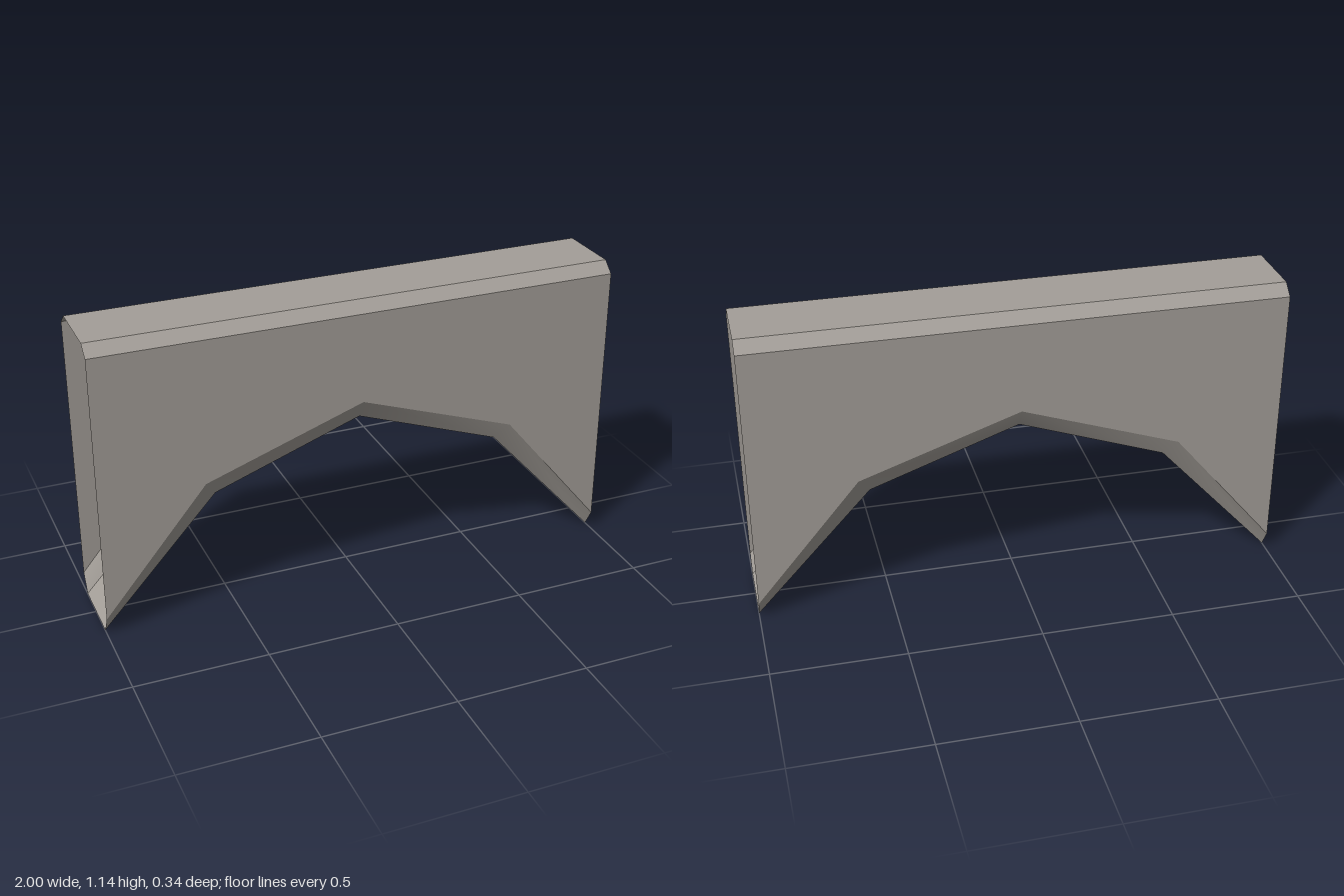
import * as THREE from 'three';

// Half arch profiles as [x, y], from the foot to the crown
const OUTER_ARCH = [[1, 0.07], [0.605, 0.545], [0, 0.755]];
const INNER_ARCH = [[1, 0], [0.56, 0.48], [0, 0.68]];
const WALL_Z = 0.17, SOFFIT_Z = 0.13, ROOF_Z = 0.125;
const ROOF_Y = 1.14, WALL_TOP_Y = 1.1;

// Mirrors a half profile to run from -x to +x at depth z
function archRail(half, z) {
  const left = half.map(([x, y]) => new THREE.Vector3(-x, y, z));
  const right = half.slice(0, -1).reverse().map(([x, y]) => new THREE.Vector3(x, y, z));
  return [...left, ...right];
}

// Straight rail with the same x stations as the outer arch
function straightRail(y, z) {
  return archRail(OUTER_ARCH.map(([x]) => [x, y]), z);
}

// Surface between two rails, smooth along its length
function strip(a, b) {
  const index = [];
  const n = a.length;
  for (let i = 0; i < n - 1; i++) {
    index.push(i, n + i, n + i + 1, i, n + i + 1, i + 1);
  }
  const geometry = new THREE.BufferGeometry().setFromPoints([...a, ...b]);
  geometry.setIndex(index);
  geometry.computeVertexNormals();
  return geometry;
}

export function createModel() {
  const group = new THREE.Group();
  group.name = 'archSegment';
  const stone = new THREE.MeshStandardMaterial({ color: 0xa39e98, side: THREE.DoubleSide });
  stone.name = 'warmGreyStone';

  // Rails around the hollow section, down the front and up the back
  const rails = [
    straightRail(ROOF_Y, ROOF_Z),
    straightRail(WALL_TOP_Y, WALL_Z),
    archRail(OUTER_ARCH, WALL_Z),
    archRail(INNER_ARCH, SOFFIT_Z),
    archRail(INNER_ARCH, -SOFFIT_Z),
    archRail(OUTER_ARCH, -WALL_Z),
    straightRail(WALL_TOP_Y, -WALL_Z),
    straightRail(ROOF_Y, -ROOF_Z),
  ];
  const names = [
    'frontTopBevel', 'frontWall', 'frontArchBevel', 'archUnderside',
    'backArchBevel', 'backWall', 'backTopBevel', 'topFace',
  ];

  // One separate face per side keeps the bevel edges sharp; the ends stay open
  names.forEach((name, i) => {
    const mesh = new THREE.Mesh(strip(rails[i], rails[(i + 1) % rails.length]), stone);
    mesh.name = name;
    group.add(mesh);
  });
  return group;
}
